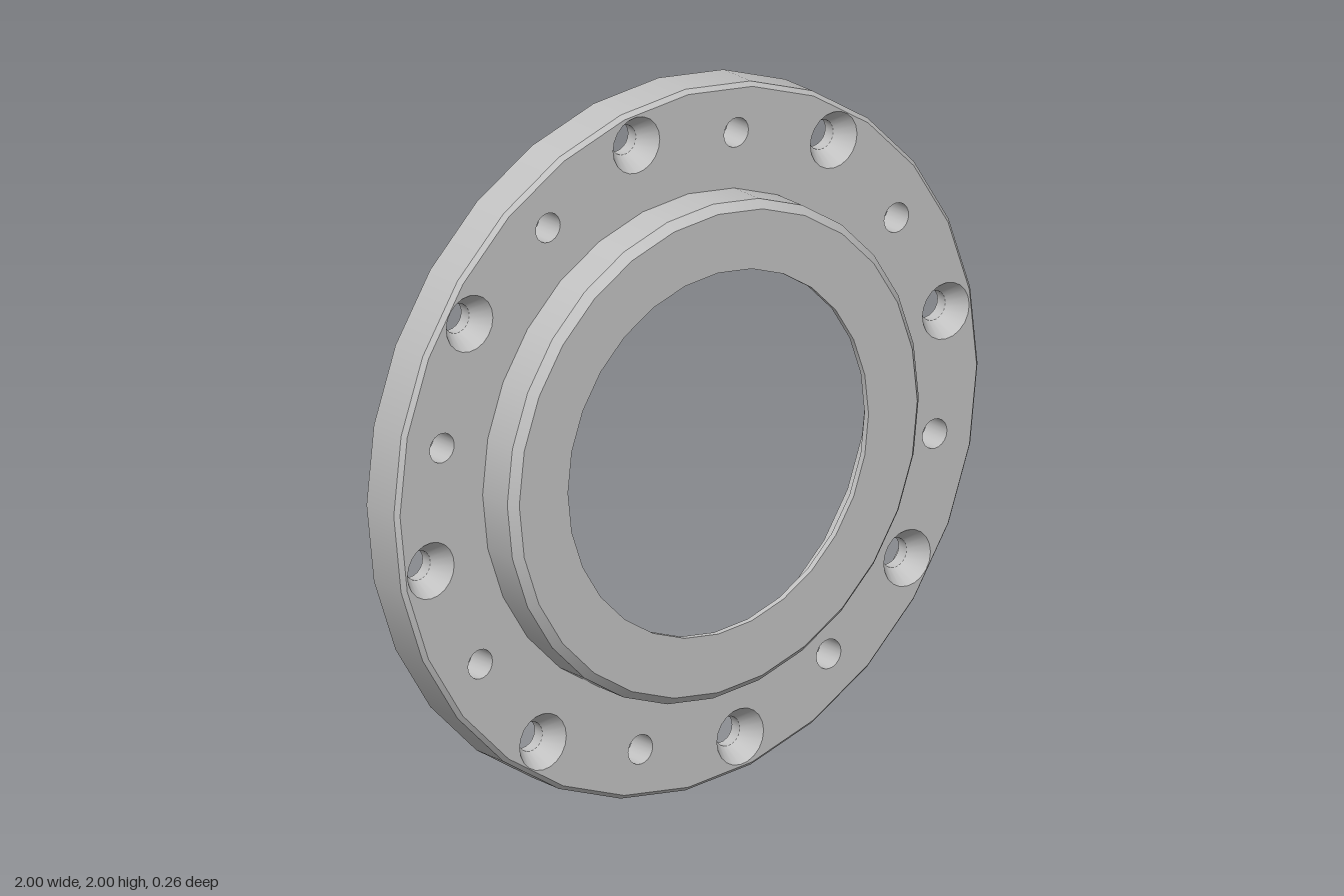
import * as THREE from 'three';
import { mergeGeometries } from 'three/addons/utils/BufferGeometryUtils.js';

const SEGMENTS = 28;
const HOLE_SEGMENTS = 20;
const FLOOR = -0.09; // rear face of the bolt plate

// Turned surface about the z axis; every profile edge stays sharp. Points are [radius, z].
function turned(points, segments = SEGMENTS) {
  const bands = [];
  for (let i = 0; i < points.length - 1; i++) {
    const pair = [points[i], points[i + 1]].map(([r, z]) => new THREE.Vector2(r, z));
    bands.push(new THREE.LatheGeometry(pair, segments));
  }
  return mergeGeometries(bands).rotateX(Math.PI / 2);
}

function circle(r, segments, cx = 0, cy = 0) {
  return Array.from({ length: segments }, (_, i) => {
    const a = (i / segments) * Math.PI * 2;
    return new THREE.Vector2(cx + r * Math.cos(a), cy + r * Math.sin(a));
  });
}

// Bolt circles: eight countersunk holes and eight plain ones
const holes = [];
for (let i = 0; i < 8; i++) {
  const place = (degrees, radius, front) => {
    const a = THREE.MathUtils.degToRad(degrees + 45 * i);
    holes.push({ x: radius * Math.cos(a), y: radius * Math.sin(a), front, back: 0.042 });
  };
  place(11.4, 0.9, 0.08);
  place(34, 0.86, 0.042);
}

// Flat ring pierced by the bolt holes
function piercedRing(inner, outer, side) {
  const mirror = side === 'back' ? -1 : 1;
  const shape = new THREE.Shape(circle(outer, SEGMENTS));
  shape.holes.push(new THREE.Path(circle(inner, SEGMENTS)));
  for (const h of holes) {
    shape.holes.push(new THREE.Path(circle(h[side], HOLE_SEGMENTS, mirror * h.x, h.y)));
  }
  const geometry = new THREE.ShapeGeometry(shape);
  return side === 'back' ? geometry.rotateY(Math.PI).translate(0, 0, FLOOR) : geometry;
}

export function createModel() {
  const model = new THREE.Group();
  model.name = 'flangedRing';
  const metal = new THREE.MeshStandardMaterial({ color: 0xc2c2c2 });
  metal.name = 'grey metal';

  const add = (name, geometry) => {
    const mesh = new THREE.Mesh(geometry, metal);
    mesh.name = name;
    mesh.position.y = 1;
    model.add(mesh);
    return mesh;
  };

  // Bolt plate faces
  add('plateFront', piercedRing(0.705, 0.988, 'front'));
  add('plateBack', piercedRing(0.775, 0.977, 'back'));

  // Outer rim with a thin rear lip and a front chamfer
  add('outerRim', turned([[0.977, FLOOR], [0.98, -0.13], [1, -0.13], [1, -0.012], [0.988, 0]]));

  // Chamfered hub, bore, and stepped rear pocket
  add('hub', turned([
    [0.705, 0], [0.705, 0.107], [0.682, 0.13], [0.515, 0.13], [0.515, 0.112],
    [0.6, 0.112], [0.6, 0.09], [0.675, 0.09], [0.675, -0.08], [0.775, -0.08], [0.775, FLOOR],
  ]));

  // Hole walls
  for (const h of holes) {
    const sunk = h.front > h.back;
    const profile = sunk
      ? [[h.front, 0], [h.back, -0.055], [h.back, FLOOR]]
      : [[h.front, 0], [h.back, FLOOR]];
    const wall = add(sunk ? 'countersunkHole' : 'plainHole', turned(profile, HOLE_SEGMENTS));
    wall.position.set(h.x, 1 + h.y, 0);
  }
  return model;
}
